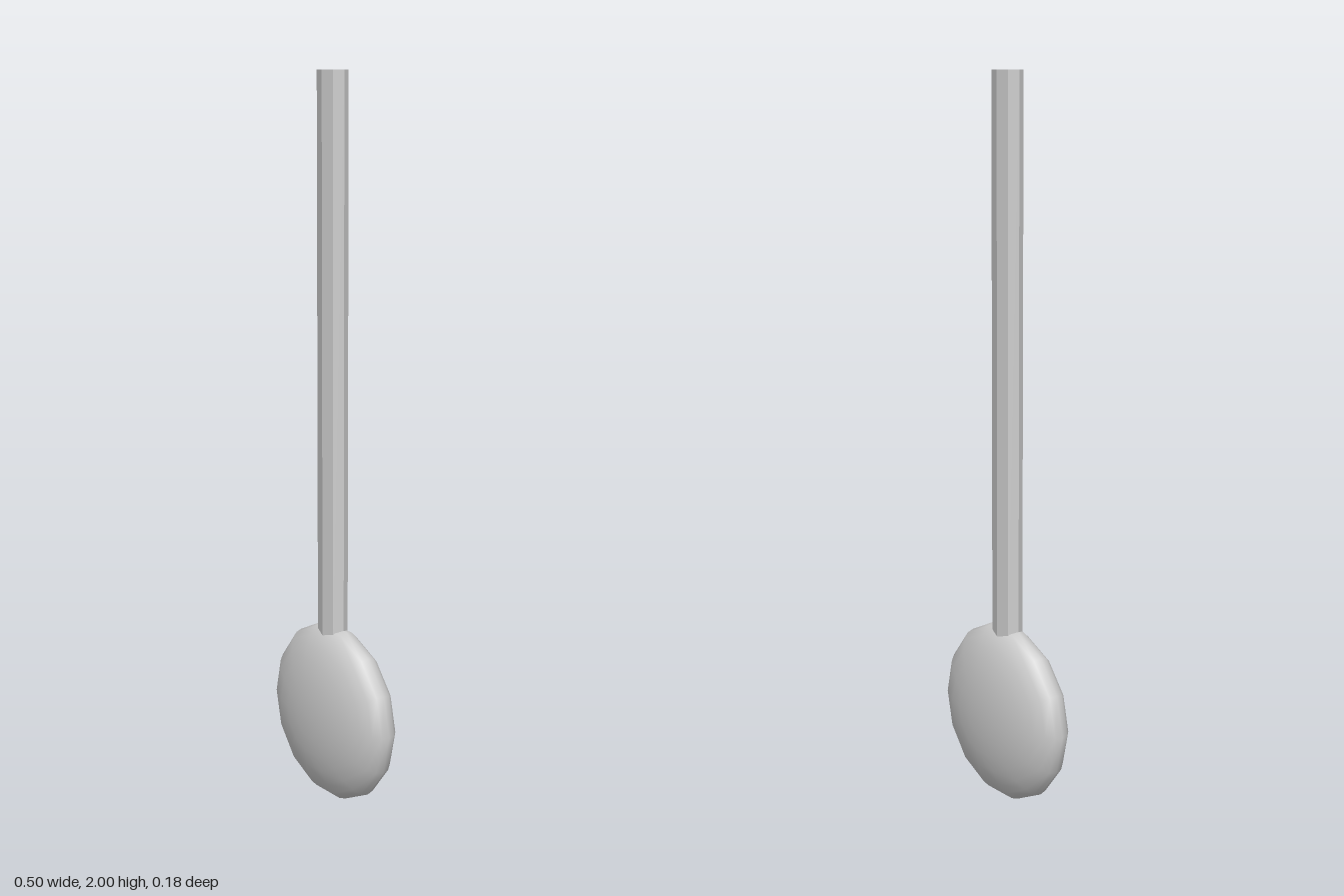
import * as THREE from 'three';

export function createModel() {
  const group = new THREE.Group();

  // Flattened round head, its poles facing front and back
  const headGeometry = new THREE.SphereGeometry(1, 14, 14);
  headGeometry.rotateX(Math.PI / 2);
  headGeometry.scale(0.252, 0.252, 0.092);
  const head = new THREE.Mesh(headGeometry, new THREE.MeshStandardMaterial({ color: 0xcccccc }));
  head.name = 'head';
  head.position.y = 0.248;
  group.add(head);

  // Eight-sided oval handle, sunk into the head
  const bottom = 0.42, top = 2;
  const handleGeometry = new THREE.CylinderGeometry(1, 1, top - bottom, 8);
  handleGeometry.scale(0.051, 1, 0.035);
  const handle = new THREE.Mesh(
    handleGeometry,
    new THREE.MeshStandardMaterial({ color: 0xcccccc, flatShading: true })
  );
  handle.name = 'handle';
  handle.position.set(-0.006, (top + bottom) / 2, 0);
  group.add(handle);

  return group;
}
